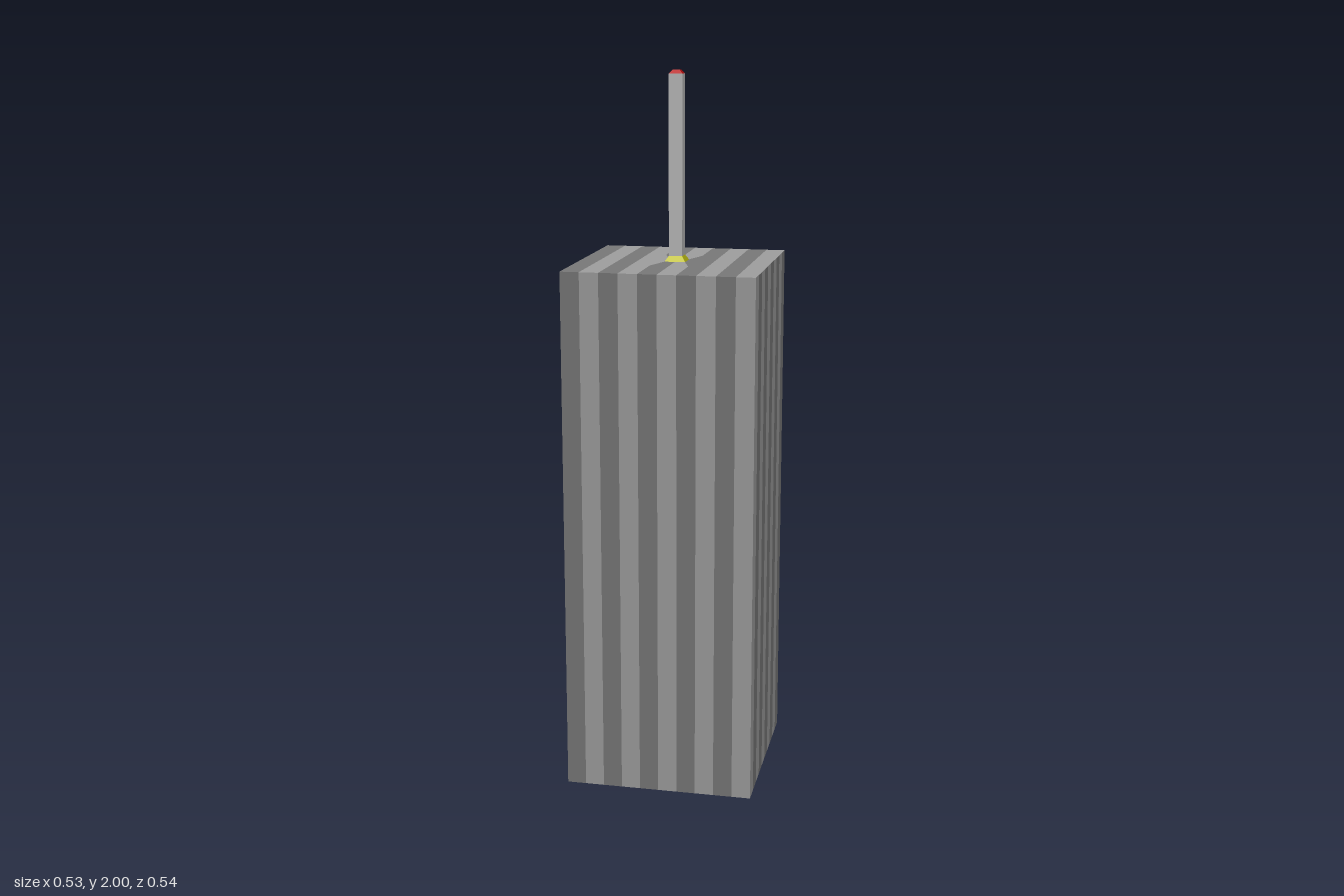
import * as THREE from 'three';
import { mergeGeometries } from 'three/addons/utils/BufferGeometryUtils.js';

const HALF = 0.265, HEIGHT = 1.48, COUNT = 10, STRIPE = (2 * HALF) / COUNT;
const CENTER_Z = 0.002, BASE = 0.029;

const paint = (color) => new THREE.MeshStandardMaterial({ color, flatShading: true });

function addMesh(parent, name, geometry, material) {
  const mesh = new THREE.Mesh(geometry, material);
  mesh.name = name;
  parent.add(mesh);
  return mesh;
}

// Square tapered block from y0 to y1, given by its half widths
function taper(bottom, top, y0, y1) {
  return new THREE.CylinderGeometry(top * Math.SQRT2, bottom * Math.SQRT2, y1 - y0, 4)
    .rotateY(Math.PI / 4)
    .translate(0, (y0 + y1) / 2, 0);
}

// Roof outline pieces of one stripe, in x and depth
function roofPieces(i) {
  const a = -HALF + i * STRIPE, b = a + STRIPE, k = 2 * STRIPE;
  if (i === 3) return [[[a, -HALF], [b, -HALF], [b, -k], [-BASE, -BASE], [-BASE, BASE], [b, k], [b, HALF], [a, HALF]]];
  if (i === 6) return [[[a, -HALF], [b, -HALF], [b, HALF], [a, HALF], [a, k], [BASE, BASE], [BASE, -BASE], [a, -k]]];
  if (i === 4) return [1, -1].map((s) => [[a, s * HALF], [b, s * HALF], [b, s * BASE], [-BASE, s * BASE], [a, s * k]]);
  if (i === 5) return [1, -1].map((s) => [[a, s * HALF], [b, s * HALF], [b, s * k], [BASE, s * BASE], [a, s * BASE]]);
  return [[[a, -HALF], [b, -HALF], [b, HALF], [a, HALF]]];
}

export function createModel() {
  const model = new THREE.Group();
  model.name = 'tower';
  const tower = new THREE.Group();
  tower.name = 'towerBody';
  tower.position.z = CENTER_Z;
  model.add(tower);

  // Alternating wall and roof stripes, gathered by shade
  const walls = [[], []], roofs = [[], []];
  for (let i = 0; i < COUNT; i++) {
    for (let side = 0; side < 4; side++) {
      walls[(i + side) % 2].push(
        new THREE.PlaneGeometry(STRIPE, HEIGHT)
          .translate(-HALF + (i + 0.5) * STRIPE, HEIGHT / 2, HALF)
          .rotateY((side * Math.PI) / 2));
    }
    for (const piece of roofPieces(i)) {
      const shape = new THREE.Shape(piece.map(([x, y]) => new THREE.Vector2(x, y)));
      roofs[i % 2].push(new THREE.ShapeGeometry(shape).rotateX(-Math.PI / 2).translate(0, HEIGHT, 0));
    }
  }
  const shades = [['dark', paint(0x777777)], ['light', paint(0x9c9c9c)]];
  shades.forEach(([shade, material], n) => {
    addMesh(tower, `${shade}WallStripes`, mergeGeometries(walls[n]), material);
    addMesh(tower, `${shade}RoofStripes`, mergeGeometries(roofs[n]), material);
  });

  // Underside
  addMesh(tower, 'floor', new THREE.PlaneGeometry(2 * HALF, 2 * HALF).rotateX(Math.PI / 2), shades[0][1]);

  // Rear door slab
  addMesh(tower, 'door',
    new THREE.BoxGeometry(2 * STRIPE, 0.1, 0.008).translate(0, 0.05, -HALF - 0.004), paint(0xb8b8b8));

  // Antenna with its collar and warning light
  const antenna = new THREE.Group();
  antenna.name = 'antenna';
  tower.add(antenna);
  addMesh(antenna, 'collar', taper(BASE, 0.019, HEIGHT, 1.495), paint(0xc8c814));
  addMesh(antenna, 'mast', taper(0.019, 0.019, 1.495, 1.99), paint(0xb8b8b8));
  addMesh(antenna, 'warningLight', taper(0.019, 0.01, 1.99, 2), paint(0xc01010));

  return model;
}
